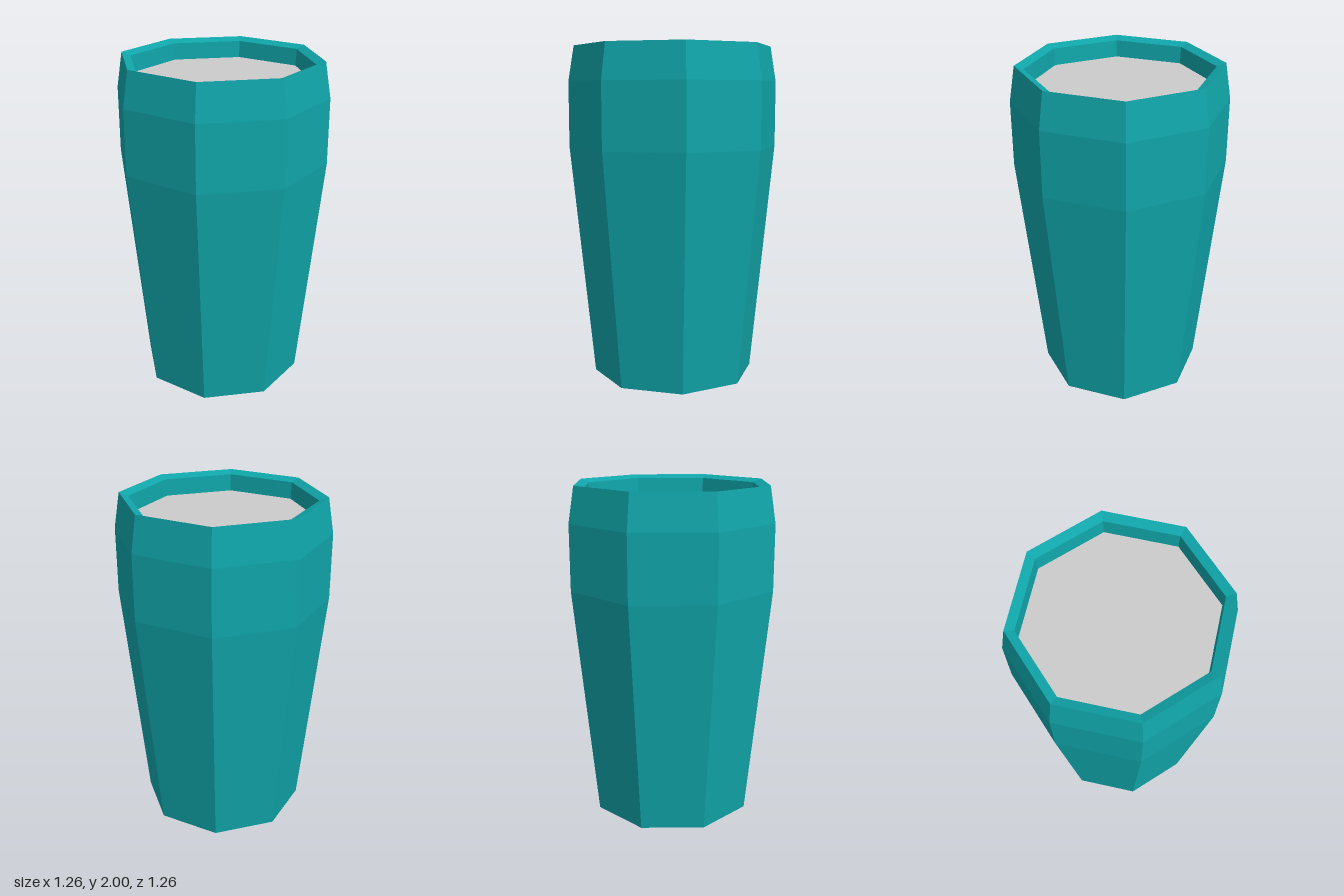
import * as THREE from 'three';

export function createModel() {
  const model = new THREE.Group();
  model.name = 'planter';
  const SIDES = 8;

  // Pot: closed base, flared wall, bevelled lip and inner wall
  const profile = [
    [0, 0], [0.49, 0], [0.63, 1.4], [0.63, 1.79],
    [0.595, 2], [0.542, 1.98], [0.535, 1.88],
  ].map(([r, y]) => new THREE.Vector2(r, y));
  const pot = new THREE.Mesh(
    new THREE.LatheGeometry(profile, SIDES),
    new THREE.MeshStandardMaterial({ color: 0x10a5a9, flatShading: true })
  );
  pot.name = 'pot';

  // Flat fill sunk below the lip
  const fill = new THREE.Mesh(
    new THREE.CircleGeometry(0.535, SIDES).rotateX(-Math.PI / 2),
    new THREE.MeshStandardMaterial({ color: 0xcccccc, flatShading: true })
  );
  fill.name = 'soil';
  fill.position.y = 1.88;

  model.add(pot, fill);
  return model;
}
